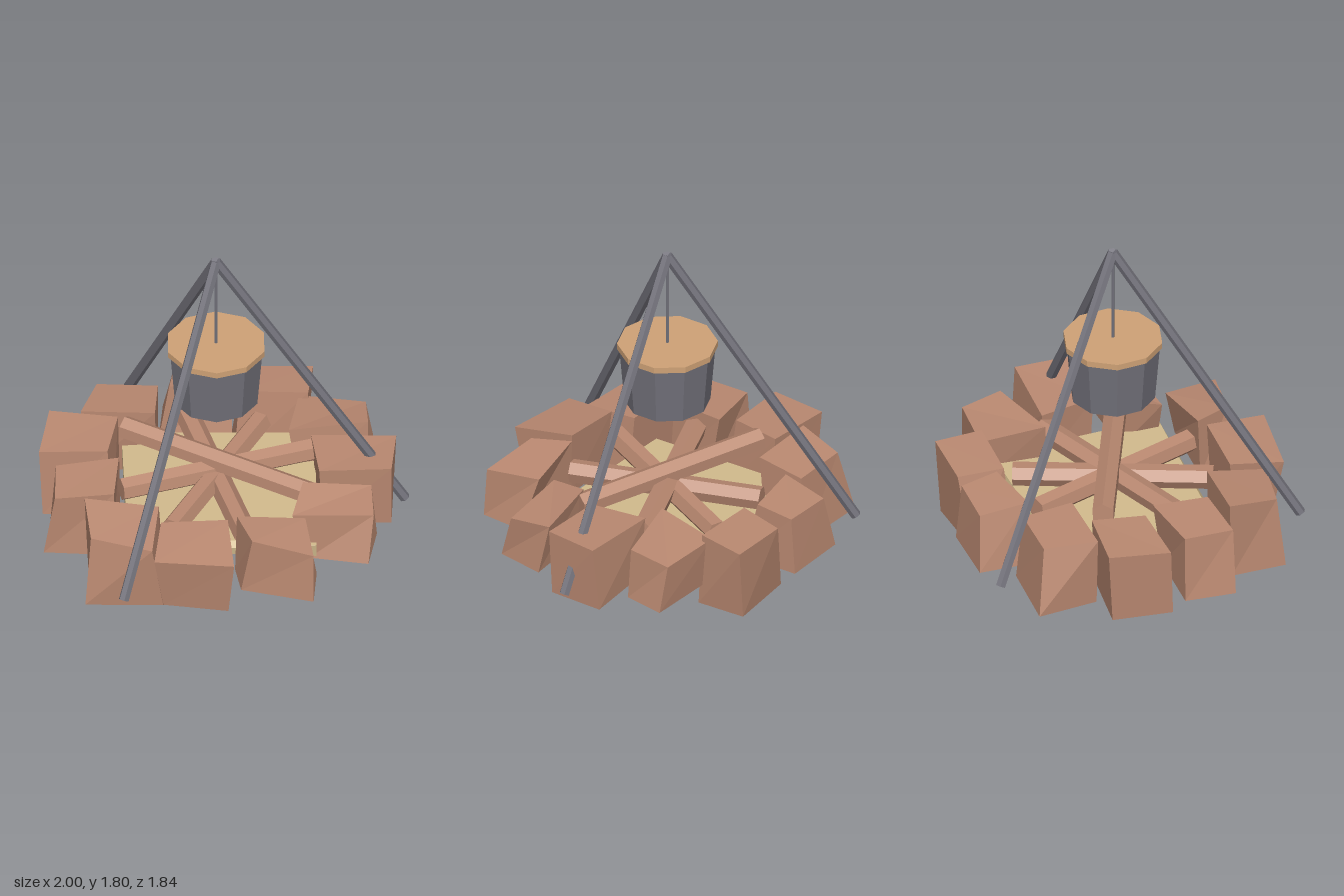
import * as THREE from 'three';

const mat = (name, color) => {
  const m = new THREE.MeshStandardMaterial({ color });
  m.name = name;
  return m;
};

export function createModel() {
  const group = new THREE.Group();
  const stone = mat('reddish brown', 0xba8971);
  const iron = mat('iron grey', 0x72717a);
  const wood = mat('light wood', 0xcfa276);
  const sand = mat('sand', 0xd2bb8d);

  const add = (name, geometry, material) => {
    const flat = geometry.toNonIndexed();
    flat.computeVertexNormals();
    const mesh = new THREE.Mesh(flat, material);
    mesh.name = name;
    group.add(mesh);
    return mesh;
  };

  // Faceted rod between two points
  const rod = (name, a, b, radius, sides, material) => {
    const from = new THREE.Vector3(...a), to = new THREE.Vector3(...b);
    const dir = to.clone().sub(from);
    const mesh = add(name, new THREE.CylinderGeometry(radius, radius, dir.length(), sides), material);
    mesh.position.copy(from).add(to).multiplyScalar(0.5);
    mesh.quaternion.setFromUnitVectors(new THREE.Vector3(0, 1, 0), dir.normalize());
    return mesh;
  };

  // Uneven block: corners run back-left, back-right, front-right, front-left as x, z pairs
  const block = (name, material, bottomY, topY, top, bottom) => {
    const geo = new THREE.BoxGeometry(1, 1, 1);
    const p = geo.attributes.position;
    for (let i = 0; i < p.count; i++) {
      const right = p.getX(i) > 0, up = p.getY(i) > 0, front = p.getZ(i) > 0;
      const k = front ? (right ? 2 : 3) : (right ? 1 : 0);
      const ring = up ? top : bottom;
      p.setXYZ(i, ring[2 * k], up ? topY[k] : bottomY, ring[2 * k + 1]);
    }
    return add(name, geo, material);
  };

  // Sandy bed
  block('fireBed', sand, 0.15, [0.23, 0.25, 0.23, 0.23],
    [-0.55, -0.53, 0.5, -0.49, 0.49, 0.48, -0.53, 0.37],
    [-0.55, -0.57, 0.5, -0.52, 0.49, 0.47, -0.53, 0.42]);

  // Ring of stones, clockwise from the back
  const rock = (...args) => block('ringStone', stone, ...args);
  rock(0.11, [0.43, 0.44, 0.47, 0.47],
    [-0.25, -0.89, 0.04, -0.87, 0.05, -0.66, -0.29, -0.62],
    [-0.32, -0.92, 0.05, -0.9, 0.05, -0.57, -0.35, -0.6]);
  rock(0.015, [0.43, 0.44, 0.46, 0.45],
    [0.14, -0.85, 0.49, -0.83, 0.46, -0.57, 0.09, -0.6],
    [0.05, -0.81, 0.44, -0.82, 0.45, -0.54, 0.06, -0.55]);
  rock(0.14, [0.42, 0.41, 0.45, 0.46],
    [0.41, -0.6, 0.77, -0.55, 0.78, -0.32, 0.35, -0.24],
    [0.44, -0.57, 0.82, -0.53, 0.78, -0.3, 0.4, -0.22]);
  rock(0.095, [0.45, 0.47, 0.475, 0.45],
    [0.47, -0.21, 0.93, -0.17, 0.9, 0.13, 0.51, 0.11],
    [0.5, -0.2, 0.91, -0.2, 0.9, 0.11, 0.53, 0.1]);
  rock(0.13, [0.46, 0.42, 0.4, 0.41],
    [0.42, 0.22, 0.79, 0.2, 0.8, 0.44, 0.36, 0.45],
    [0.46, 0.25, 0.82, 0.25, 0.77, 0.52, 0.45, 0.46]);
  rock(0.115, [0.47, 0.43, 0.41, 0.46],
    [0.06, 0.53, 0.43, 0.5, 0.47, 0.81, 0.14, 0.74],
    [0.05, 0.54, 0.49, 0.58, 0.47, 0.83, 0.08, 0.72]);
  rock(0.08, [0.44, 0.47, 0.42, 0.4],
    [-0.35, 0.54, 0.01, 0.56, 0.04, 0.91, -0.39, 0.84],
    [-0.32, 0.57, 0, 0.58, 0.01, 0.86, -0.34, 0.8]);
  rock(0, [0.47, 0.44, 0.39, 0.42],
    [-0.76, 0.36, -0.36, 0.4, -0.4, 0.73, -0.73, 0.65],
    [-0.74, 0.38, -0.33, 0.42, -0.34, 0.7, -0.76, 0.69]);
  rock(0.058, [0.44, 0.46, 0.45, 0.43],
    [-0.91, 0.03, -0.57, -0.01, -0.6, 0.3, -0.92, 0.31],
    [-0.94, 0.02, -0.56, 0.05, -0.61, 0.33, -0.98, 0.3]);
  rock(0.035, [0.46, 0.46, 0.45, 0.44],
    [-0.94, -0.43, -0.57, -0.37, -0.63, -0.08, -1, -0.09],
    [-0.92, -0.4, -0.56, -0.34, -0.6, -0.04, -0.98, -0.07]);
  rock(0.055, [0.43, 0.43, 0.46, 0.46],
    [-0.68, -0.7, -0.35, -0.68, -0.37, -0.4, -0.77, -0.42],
    [-0.76, -0.76, -0.35, -0.72, -0.36, -0.44, -0.75, -0.42]);

  // Crossed firewood
  rod('log', [-0.54, 0.455, -0.29], [0.46, 0.385, 0.22], 0.065, 6, stone);
  rod('log', [0.48, 0.36, -0.2], [-0.56, 0.36, 0.14], 0.065, 6, stone);
  rod('log', [-0.19, 0.34, -0.53], [0.11, 0.32, 0.5], 0.065, 6, stone);
  rod('log', [0.2, 0.32, -0.5], [-0.29, 0.34, 0.47], 0.065, 6, stone);

  // Tripod
  const cx = -0.045, cz = -0.017;
  for (let i = 0; i < 3; i++) {
    const a = i * Math.PI * 2 / 3;
    rod('tripodLeg', [cx + 1.02 * Math.cos(a), 0.165, cz + 1.02 * Math.sin(a)],
      [cx, 1.785, cz], 0.029, 6, iron);
  }

  // Hanging pot with lid
  rod('hanger', [cx, 1.2, cz], [cx, 1.78, cz], 0.009, 6, iron);
  add('pot', new THREE.CylinderGeometry(0.26, 0.233, 0.33, 10), iron).position.set(cx, 1.035, cz);
  add('lid', new THREE.CylinderGeometry(0.273, 0.273, 0.035, 10), wood).position.set(cx, 1.2175, cz);

  return group;
}
